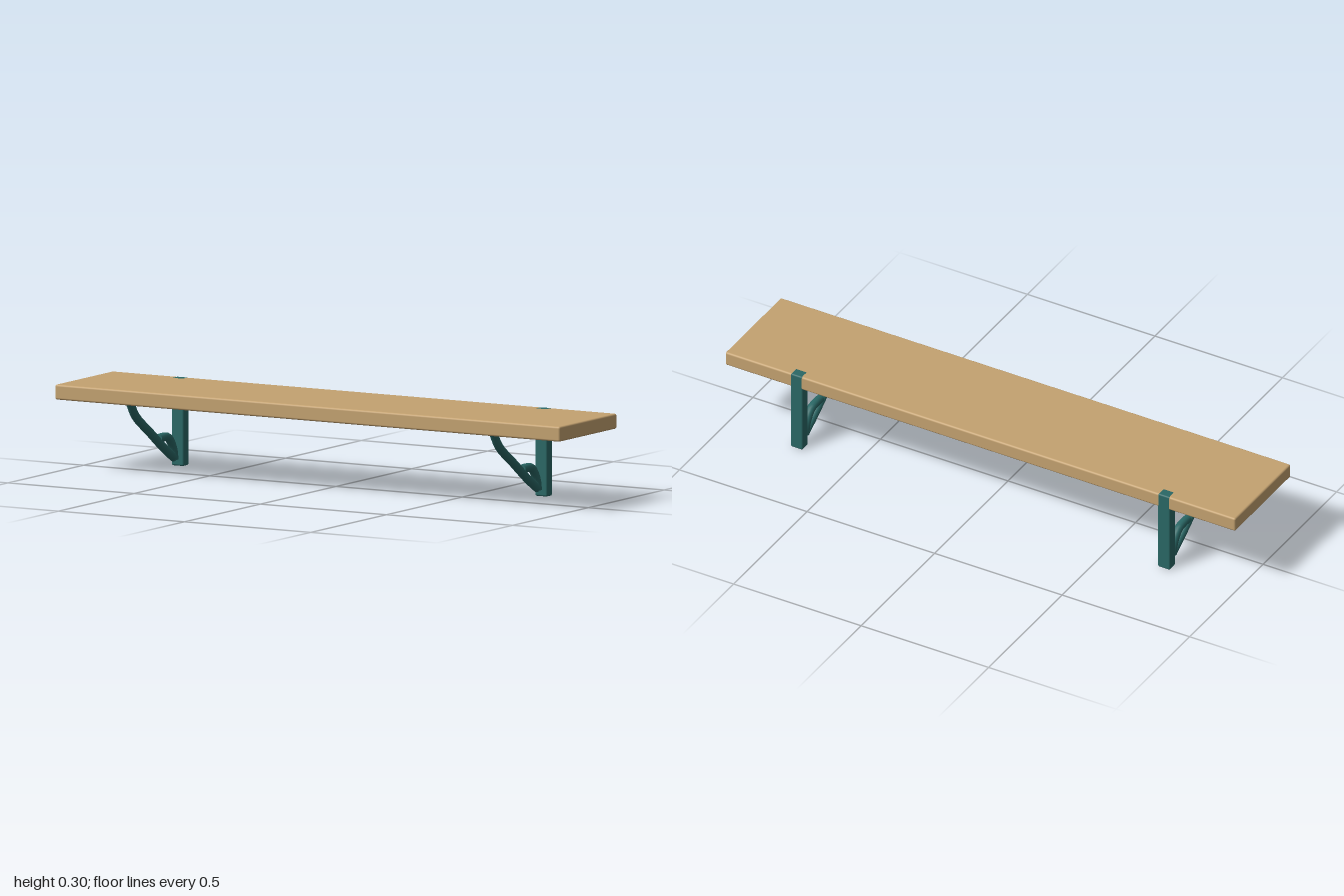
import * as THREE from 'three';
import { RoundedBoxGeometry } from 'three/addons/geometries/RoundedBoxGeometry.js';

const wood = new THREE.MeshStandardMaterial({ color: 0xc4a270 });
const iron = new THREE.MeshStandardMaterial({ color: 0x2a6866 });

// Rounded box placed by its centre
function roundedBox(name, size, centre, radius, material) {
  const mesh = new THREE.Mesh(new RoundedBoxGeometry(...size, 3, radius), material);
  mesh.position.set(...centre);
  mesh.name = name;
  return mesh;
}

// Round rod along [z, y] points in the bracket's plane, closed with flat ends
function rod(name, points, radius, segments) {
  const curve = new THREE.CatmullRomCurve3(points.map(([z, y]) => new THREE.Vector3(0, y, z)));
  const group = new THREE.Group();
  group.name = name;
  group.add(new THREE.Mesh(new THREE.TubeGeometry(curve, segments, radius, 14, false), iron));
  for (const t of [0, 1]) {
    const cap = new THREE.Mesh(new THREE.CircleGeometry(radius, 14), iron);
    const end = curve.getPointAt(t);
    const outward = curve.getTangentAt(t).multiplyScalar(t ? 1 : -1);
    cap.position.copy(end);
    cap.lookAt(end.clone().add(outward));
    cap.name = name + 'End';
    group.add(cap);
  }
  return group;
}

// Upright against the wall, diagonal brace and a small curled scroll
function bracket(name, x) {
  const group = new THREE.Group();
  group.name = name;
  group.position.x = x;
  group.add(
    roundedBox('upright', [0.048, 0.3005, 0.0385], [0, 0.15025, -0.17125], 0.006, iron),
    rod('brace', [[0.165, 0.262], [0.125, 0.205], [0.03, 0.137], [-0.07, 0.067], [-0.13, 0.031]], 0.015, 16),
    rod('scroll', [[-0.027, 0.109], [-0.06, 0.11], [-0.09, 0.105], [-0.112, 0.083], [-0.126, 0.055], [-0.131, 0.025]], 0.015, 14),
  );
  return group;
}

export function createModel() {
  const model = new THREE.Group();
  model.name = 'wallShelf';
  model.add(roundedBox('shelfBoard', [2, 0.052, 0.38], [0, 0.274, 0], 0.007, wood));
  model.add(bracket('leftBracket', 0.72), bracket('rightBracket', -0.72));
  return model;
}
